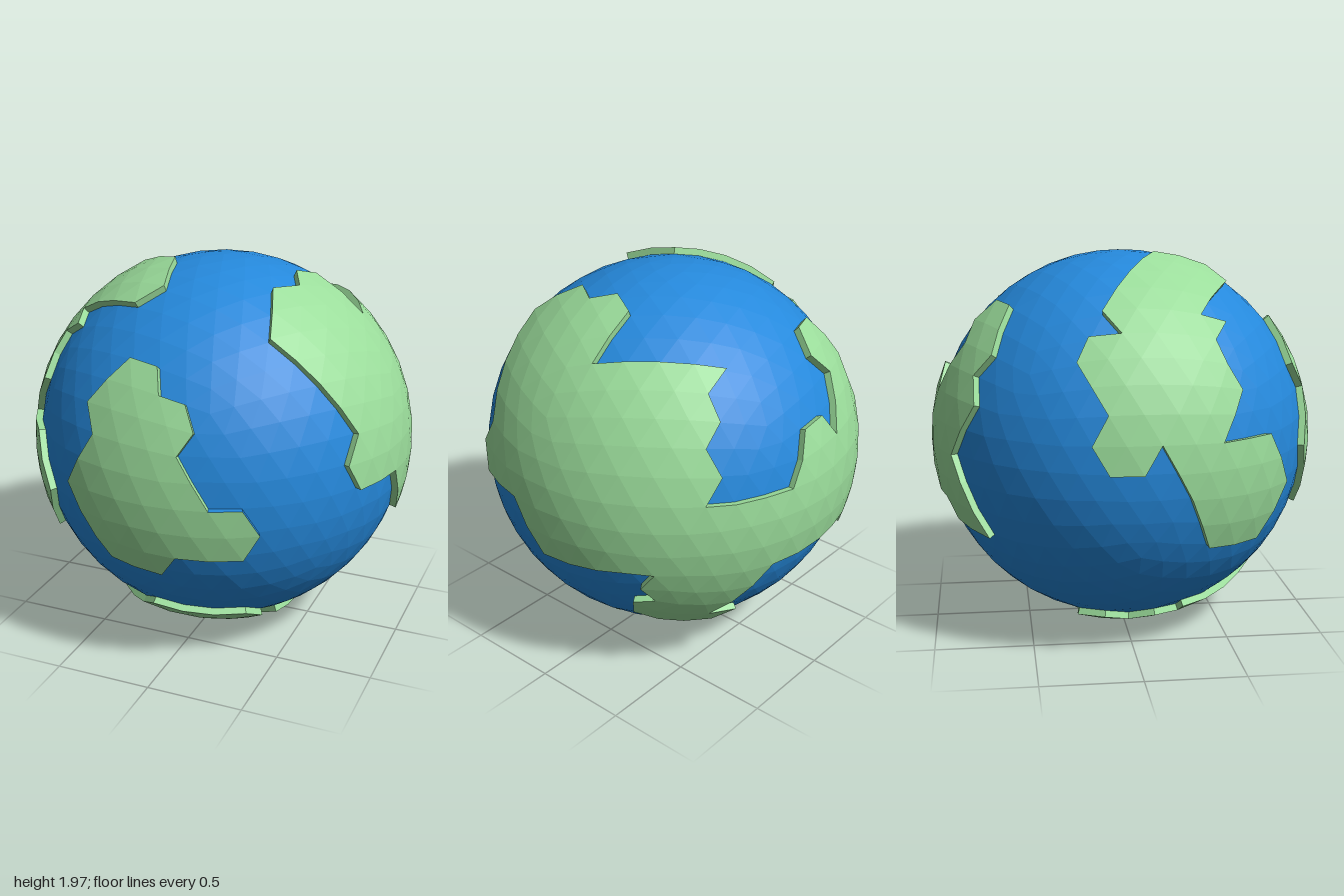
import * as THREE from 'three';

const SEA = 0.965; // the land stands at radius 1

const blue = new THREE.MeshStandardMaterial({ color: 0x2589dc, flatShading: true });
const green = new THREE.MeshStandardMaterial({ color: 0x9bdd9b, flatShading: true });

// A test for points of the globe under a flat coastline seen from one direction (degrees)
function coast(azimuth, elevation, outline) {
  const toEye = new THREE.Euler(elevation * Math.PI / 180, -azimuth * Math.PI / 180, 0, 'XYZ');
  return (point) => {
    const { x, y, z } = point.clone().applyEuler(toEye);
    let inside = false;
    outline.forEach(([x1, y1], i) => {
      const [x2, y2] = outline[(i + 1) % outline.length];
      if ((y1 > y) !== (y2 > y) && x < x1 + (x2 - x1) * (y - y1) / (y2 - y1)) inside = !inside;
    });
    return inside && z > 0.05;
  };
}

const frontCoast = coast(0, 0, [
  [-.16, .62], [0, .6], [.02, .51], [.24, .35], [.15, .25], [.3, 0], [.46, .02],
  [.46, -.28], [.13, -.27], [.05, -.39], [-.22, -.36], [-.45, 0], [-.29, .27], [-.35, .4]]);

const greatCoast = coast(90, 0, [
  [-.53, .71], [-.26, .9], [.15, .89], [.14, .79], [.07, .705], [.4, .722], [.63, .69],
  [.78, .29], [.76, .128], [.97, .128], [.93, -.273], [.594, -.74], [.43, -.69], [.34, -.56],
  [.49, -.43], [.55, -.25], [0, -.278], [-.155, 0], [-.5, .04], [-.417, .267]]);

const greatBackCoast = coast(213.7, 23.9, [
  [-.77, -.15], [-.61, .05], [-.463, .038], [-.43, -.1], [-.252, .14], [-.3, .266], [-.203, .39],
  [-.035, .363], [.02, .1], [.01, -.17], [-.133, -.412], [.062, -.74], [-.28, -.64], [-.78, -.51]]);

const sideCoast = coast(-90, 0, [
  [.165, .97], [.43, .9], [.497, .826], [.369, .756], [.44, .38], [.44, .14], [.68, .128],
  [.765, -.128], [.617, -.4], [.33, -.4], [.21, 0], [.075, .13], [.03, 0], [-.22, .02],
  [-.183, .258], [-.29, .56], [-.096, .635], [-.15, .72], [0, .88]]);

const polarCoast = coast(0, -90, [
  [.05, .7], [.4, .54], [.3, .285], [.45, .24], [.46, -.03], [.27, -.1],
  [.245, -.385], [.09, -.46], [-.1, -.235], [-.4, -.24], [-.43, .33], [-.2, .62]]);

const continents = {
  frontContinent: [frontCoast],
  greatContinent: [greatCoast, greatBackCoast],
  sideContinent: [sideCoast],
  polarContinent: [polarCoast],
};

function facetMesh(name, points, material) {
  const geometry = new THREE.BufferGeometry().setFromPoints(points);
  geometry.computeVertexNormals();
  const mesh = new THREE.Mesh(geometry, material);
  mesh.name = name;
  return mesh;
}

// One short stretch of the front shore has a sea-coloured cliff
const blueShore = new THREE.Box3(new THREE.Vector3(.26, -.17, .7), new THREE.Vector3(.55, .02, 1));

const edgeKey = (...ends) => ends.map((p) => p.toArray().map((n) => Math.round(n * 1e4))).join('|');

// Raised facets, with a cliff down to the sea along every edge that has no neighbour
function buildContinent(name, facets) {
  const edges = facets.flatMap(([a, b, c]) => [[a, b], [b, c], [c, a]]);
  const known = new Set(edges.map(([p, q]) => edgeKey(p, q)));
  const cliffs = [], blueCliffs = [];
  for (const [p, q] of edges) {
    if (known.has(edgeKey(q, p))) continue;
    const [pSea, qSea] = [p, q].map((v) => v.clone().multiplyScalar(SEA));
    const isBlue = blueShore.containsPoint(p) && blueShore.containsPoint(q);
    (isBlue ? blueCliffs : cliffs).push(p, pSea, qSea, p, qSea, q);
  }
  const group = new THREE.Group();
  group.name = name;
  group.add(facetMesh('land', facets.flat(), green), facetMesh('cliffs', cliffs, green));
  if (blueCliffs.length) group.add(facetMesh('blueCliffs', blueCliffs, blue));
  return group;
}

export function createModel() {
  const model = new THREE.Group();
  model.name = 'globe';

  // Faceted ball turned so that a corner sits at each pole
  const ball = new THREE.IcosahedronGeometry(1, 7);
  ball.rotateZ(-Math.atan(2 / (1 + Math.sqrt(5))));

  const facets = [];
  const position = ball.attributes.position;
  for (let i = 0; i < position.count; i += 3) {
    facets.push([i, i + 1, i + 2].map((k) => new THREE.Vector3().fromBufferAttribute(position, k)));
  }

  // Continents take the facets whose centres lie within their coasts
  for (const [name, coasts] of Object.entries(continents)) {
    const land = facets.filter(([a, b, c]) => {
      const centre = a.clone().add(b).add(c).normalize();
      return coasts.some((covers) => covers(centre));
    });
    model.add(buildContinent(name, land));
  }

  // Ocean
  const ocean = new THREE.Mesh(ball.scale(SEA, SEA, SEA), blue);
  ocean.name = 'ocean';
  model.add(ocean);

  for (const part of model.children) part.position.y = 1;
  return model;
}
